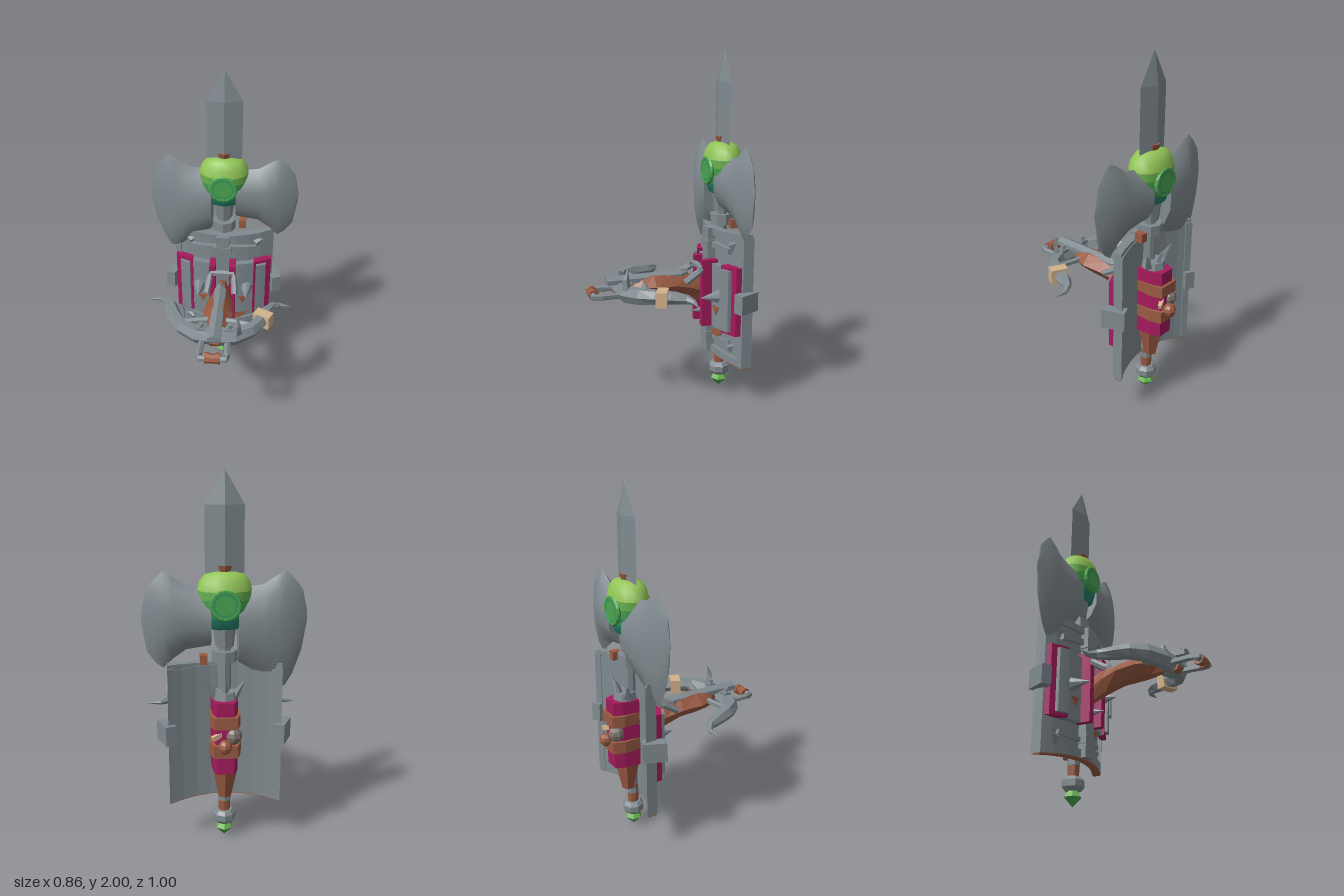
import * as THREE from 'three';
import { mergeVertices, toCreasedNormals } from 'three/addons/utils/BufferGeometryUtils.js';

const PZ = -0.305; // depth of the pole axis

function flat(geo) {
  const g = geo.index ? geo.toNonIndexed() : geo;
  g.computeVertexNormals();
  return g;
}

// Skin a list of equal-length rings, capping both ends and turning faces outward.
function loft(rings) {
  const tris = [], n = rings[0].length, last = rings.length - 1;
  for (let i = 0; i < last; i++) for (let j = 0; j < n; j++) {
    const a = rings[i][j], b = rings[i][(j + 1) % n], c = rings[i + 1][(j + 1) % n], d = rings[i + 1][j];
    tris.push([a, b, c], [a, c, d]);
  }
  for (let j = 1; j < n - 1; j++) {
    tris.push([rings[0][0], rings[0][j + 1], rings[0][j]]);
    tris.push([rings[last][0], rings[last][j], rings[last][j + 1]]);
  }
  const v = (p) => new THREE.Vector3(...p);
  const volume = tris.reduce((s, t) => s + v(t[0]).dot(v(t[1]).cross(v(t[2]))), 0);
  if (volume < 0) tris.forEach((t) => t.reverse());
  const g = new THREE.BufferGeometry();
  g.setAttribute('position', new THREE.Float32BufferAttribute(tris.flat(2), 3));
  return g;
}

// Plate bent to the curve of the shield; front and back are depths at x = 0.
const bend = (x) => -0.085 * (x / 0.3) ** 2;
function bentPlate(x0, x1, y0, y1, front, back, sag = 0) {
  const g = new THREE.BoxGeometry(x1 - x0, y1 - y0, front - back, 8, 1, 1);
  g.translate((x0 + x1) / 2, (y0 + y1) / 2, (front + back) / 2);
  const p = g.attributes.position;
  for (let i = 0; i < p.count; i++) {
    const x = p.getX(i);
    p.setZ(i, p.getZ(i) + bend(x));
    p.setY(i, p.getY(i) - sag * (x / 0.3) ** 2);
  }
  return g;
}

function tube(points, r, sides = 6) {
  const path = new THREE.CurvePath();
  const v = points.map((p) => new THREE.Vector3(...p));
  for (let i = 1; i < v.length; i++) path.add(new THREE.LineCurve3(v[i - 1], v[i]));
  return new THREE.TubeGeometry(path, (v.length - 1) * 4, r, sides);
}

export function createModel() {
  const model = new THREE.Group();
  const mat = (name, color) => Object.assign(new THREE.MeshStandardMaterial({ color }), { name });
  const steel = mat('steel grey', 0x808a8f), leather = mat('leather brown', 0x995a42);
  const cloth = mat('magenta cloth', 0xa31a5b), tan = mat('tan wrap', 0xd3b28c);
  const lime = mat('lime green', 0x91c456), leaf = mat('leaf green', 0x68b24f), green = mat('mid green', 0x4ba551);
  const sea = mat('sea green', 0x36945f), teal = mat('teal', 0x27836c), stone = mat('grey brown', 0x7b7069);

  function add(name, geo, material, pos = [0, 0, 0], rot = [0, 0, 0], smooth = false) {
    const m = new THREE.Mesh(smooth ? geo : flat(geo), material);
    m.name = name;
    m.position.set(...pos);
    m.rotation.set(...rot);
    model.add(m);
    return m;
  }
  const box = (w, h, d) => new THREE.BoxGeometry(w, h, d);
  const cyl = (rt, rb, h, n = 8) => new THREE.CylinderGeometry(rt, rb, h, n);

  // Pole, grip, pommel and gem
  add('pole', cyl(0.035, 0.035, 1.0), steel, [0, 0.72, PZ]);
  add('grip', cyl(0.036, 0.03, 0.14), leather, [0, 0.21, PZ]);
  add('gripFlare', cyl(0.075, 0.038, 0.17, 6), leather, [0, 0.345, PZ - 0.03]);
  add('pommelNut', new THREE.LatheGeometry([[0, 0.085], [0.045, 0.085], [0.062, 0.105], [0.062, 0.14], [0.045, 0.16], [0, 0.16]].map((p) => new THREE.Vector2(...p)), 8), steel, [0, 0, PZ]);
  add('pommelGemTop', cyl(0.026, 0.05, 0.035, 6), leaf, [0, 0.07, PZ]);
  add('pommelGemBottom', cyl(0.05, 0, 0.052, 6), green, [0, 0.026, PZ]);
  add('neckRing', cyl(0.068, 0.068, 0.06), steel, [0, 1.055, PZ]);
  add('neck', cyl(0.06, 0.048, 0.1), steel, [0, 1.155, PZ]);
  add('neckPeg', box(0.04, 0.05, 0.05), leather, [0.11, 1.045, PZ - 0.03]);

  // Spear blade with a diamond section
  const diamond = (y, w, t) => [[w, y, PZ], [0, y, PZ + t], [-w, y, PZ], [0, y, PZ - t]];
  add('spearBlade', loft([diamond(1.46, 0.1, 0.034), diamond(1.83, 0.1, 0.03), diamond(2, 0.001, 0.001)]), steel);
  add('spearCollar', cyl(0.045, 0.03, 0.05), leather, [0, 1.505, PZ]);

  // Axe head: columns of x, top, lower edge (left, right), half thickness
  const axe = [[0.07, 1.41, 1.11, 1.02, 0.082], [0.2, 1.43, 1.09, 0.94, 0.073], [0.27, 1.475, 1.04, 0.885, 0.063],
    [0.32, 1.5, 0.99, 0.88, 0.049], [0.36, 1.46, 1.02, 0.95, 0.034], [0.405, 1.4, 1.08, 1.08, 0.015], [0.43, 1.28, 1.24, 1.24, 0.001]];
  const lens = [[0.12, 0.55], [0.35, 1], [0.65, 1], [0.88, 0.55]];
  for (const s of [1, -1]) {
    const blade = loft(axe.map(([x, top, l, r, t]) => {
      const low = s > 0 ? l : r;
      const side = (dir) => lens.map(([k, w]) => [x * s, top + (low - top) * k, PZ + dir * t * w]);
      return [[x * s, top, PZ], ...side(1), [x * s, low, PZ], ...side(-1).reverse()];
    }));
    add(s > 0 ? 'leftAxeBlade' : 'rightAxeBlade', toCreasedNormals(mergeVertices(blade), 0.8), steel, [0, 0, 0], [0, 0, 0], true);
  }

  // Orb in colour bands, with a ringed eye on both faces
  const bands = [['orbBottom', teal, [[0, 1.2], [0.07, 1.2], [0.1, 1.215], [0.12, 1.265]]],
    ['orbLower', sea, [[0.12, 1.265], [0.133, 1.31]]],
    ['orbMiddle', green, [[0.133, 1.31], [0.142, 1.36]]],
    ['orbUpper', leaf, [[0.142, 1.36], [0.143, 1.405]]],
    ['orbTop', lime, [[0.143, 1.405], [0.13, 1.45], [0.1, 1.485], [0.05, 1.5], [0, 1.5]]]];
  for (const [name, m, pts] of bands) {
    add(name, new THREE.LatheGeometry(pts.map((p) => new THREE.Vector2(...p)), 16), m, [0, 0, PZ], [0, 0, 0], true).scale.z = 0.72;
  }
  for (const s of [1, -1]) {
    const turn = [0, s > 0 ? 0 : Math.PI, 0];
    add('eyeRing', new THREE.TorusGeometry(0.07, 0.013, 6, 16), green, [0, 1.34, PZ + s * 0.093], turn);
    add('eyeInner', new THREE.CircleGeometry(0.068, 16), sea, [0, 1.34, PZ + s * 0.103], turn);
    add('eyePupil', new THREE.CircleGeometry(0.052, 16), green, [0, 1.34, PZ + s * 0.105], turn);
  }

  // Curved shield with raised rim, ribs and panels
  add('shieldPlate', bentPlate(-0.3, 0.3, 0.25, 1.0, -0.25, -0.285, 0.018), steel);
  add('shieldBottomRim', bentPlate(-0.3, 0.3, 0.25, 0.295, -0.23, -0.27, 0.018), steel);
  add('shieldUnderside', bentPlate(-0.298, 0.298, 0.244, 0.252, -0.235, -0.28, 0.018), leather);
  add('shieldTopRim', bentPlate(-0.3, 0.3, 0.97, 1.01, -0.23, -0.28, -0.01), steel);
  add('upperRib', bentPlate(-0.2, 0.2, 0.9, 0.935, -0.225, -0.27, 0.03), steel);
  add('lowerRib', bentPlate(-0.2, 0.2, 0.335, 0.36, -0.235, -0.27, -0.03), steel);
  add('spine', box(0.08, 0.76, 0.08), steel, [0, 0.63, -0.245]);
  add('spineTopKnob', box(0.1, 0.06, 0.05), steel, [0, 0.91, -0.225]);
  add('spineLowKnob', box(0.09, 0.05, 0.05), steel, [0, 0.35, -0.225]);
  const crescent = new THREE.Shape();
  crescent.absarc(0, 0, 0.19, -Math.PI * 0.45, -0.35, false);
  crescent.absarc(0, 0, 0.14, -0.35, -Math.PI * 0.45, true);
  add('wornWood', new THREE.ExtrudeGeometry(crescent, { depth: 0.008, bevelEnabled: false }), leather, [0.01, 0.53, -0.24], [0, 0.17, 0]);
  for (const s of [1, -1]) {
    const span = (a, b) => (s > 0 ? [a, b] : [-b, -a]);
    add('sideRim', bentPlate(...span(0.265, 0.3), 0.24, 1.0, -0.228, -0.29), steel);
    add('frontPanel', bentPlate(...span(0.075, 0.2), 0.43, 0.81, -0.213, -0.26), steel);
    add('sideCloth', bentPlate(...span(0.187, 0.292), 0.43, 0.83, -0.195, -0.24), cloth);
    add('sideClothPlate', bentPlate(...span(0.202, 0.262), 0.45, 0.81, -0.175, -0.2), steel);
    add('sideClamp', box(0.06, 0.11, 0.13), steel, [s * 0.31, 0.635, -0.33], [0, s * 0.4, 0]);
    add('shieldSpike', cyl(0, 0.04, 0.12), steel, [s * 0.147, 0.63, -0.177], [Math.PI / 2, 0, 0]);
    add('wornChip', cyl(0.035, 0.035, 0.008, 3), leather, [s * 0.125, 0.545, -0.226], [Math.PI / 2, s * 0.24, 0, 'YXZ']);
    for (const y of [0.33, 0.94]) add('cornerStud', cyl(0, 0.045, 0.025, 3), steel, [s * 0.2, y, -0.28], [Math.PI / 2, 0, 0]);
  }
  add('centreSpike', cyl(0, 0.025, 0.1), steel, [0, 0.505, -0.165], [Math.PI / 2, 0, 0]);

  // Magenta cloth wrap around the pole, with straps behind
  for (const s of [1, -1]) add('clothStrip', box(0.037, 0.4, 0.13), cloth, [s * 0.06, 0.63, -0.225]);
  const wrap = (y, g) => [[-0.075, y, -0.28], [0.075, y, -0.28], [0.065 + g, y, -0.385], [0.045 + g, y, -0.435 - g], [-0.045 - g, y, -0.435 - g], [-0.065 - g, y, -0.385]];
  add('clothWrap', loft([wrap(0.43, 0), wrap(0.83, 0)]), cloth);
  add('upperStrap', loft([wrap(0.69, 0.016), wrap(0.755, 0.016)]), leather);
  add('lowerStrap', loft([wrap(0.53, 0.018), wrap(0.6, 0.018)]), leather);
  add('strapKnob', new THREE.SphereGeometry(0.038, 8, 6), leather, [0.005, 0.6, -0.462]);
  add('stoneLump', new THREE.SphereGeometry(0.046, 8, 6), stone, [-0.042, 0.645, -0.42]);
  add('tanTie', box(0.07, 0.025, 0.02), tan, [0.04, 0.65, -0.433], [0, 0.4, -0.3]);
  for (const s of [-1, 0, 1]) add('crownProng', cyl(0, 0.028, 0.13, 4), steel, [s * 0.075, 0.89, -0.36 - (s ? 0 : 0.02)], [-0.3, 0, -s * 0.5]);
  add('crownBase', cyl(0.06, 0.07, 0.05), steel, [0, 0.845, -0.34]);

  // Crossbow stock: sections of z, half width, low and high edges
  const stock = [[-0.22, 0.04, 0.55, 0.69], [-0.1, 0.055, 0.6, 0.735], [0, 0.075, 0.635, 0.75], [0.12, 0.088, 0.645, 0.755], [0.19, 0.07, 0.65, 0.75], [0.25, 0.028, 0.66, 0.74]];
  add('stock', loft(stock.map(([z, w, lo, hi]) => {
    const mid = (lo + hi) / 2;
    return [[-w * 0.4, hi, z], [w * 0.4, hi, z], [w, mid, z], [w * 0.4, lo, z], [-w * 0.4, lo, z], [-w, mid, z]];
  })), leather);
  const rail = (z, w) => [[-w, 0.725, z], [w, 0.725, z], [w, 0.75, z], [0, 0.768, z], [-w, 0.75, z]];
  add('rail', loft([rail(-0.1, 0.003), rail(-0.05, 0.034), rail(0.39, 0.036)]), steel);

  // Bow limbs: inner x, z, outer x, z, height centre, half height
  const limb = [[0, 0.25, 0, 0.355, 0.69, 0.045], [0.1, 0.25, 0.12, 0.34, 0.69, 0.045], [0.18, 0.21, 0.22, 0.28, 0.7, 0.042], [0.215, 0.14, 0.28, 0.2, 0.705, 0.036],
    [0.25, 0.05, 0.31, 0.12, 0.7, 0.03], [0.3, 0, 0.33, 0.035, 0.695, 0.022], [0.35, -0.02, 0.36, 0.006, 0.687, 0.012], [0.425, -0.004, 0.425, -0.002, 0.682, 0.001]];
  const limbRing = (s) => ([ix, iz, ox, oz, y, h]) => {
    const at = (k, dy) => [s * (ix + (ox - ix) * k), y + dy, iz + (oz - iz) * k];
    return [at(0, 0), at(0.25, h), at(0.75, h), at(1, 0), at(0.75, -h), at(0.25, -h)];
  };
  add('bowLimbs', loft([...limb.slice(1).reverse().map(limbRing(-1)), ...limb.map(limbRing(1))]), steel);
  add('limbWrap', box(0.1, 0.085, 0.06), tan, [0.263, 0.703, 0.145], [0, -0.45, 0]);
  add('bowBrace', tube([[-0.19, 0.705, 0.21], [-0.1, 0.705, 0.19], [0, 0.705, 0.175], [0.1, 0.705, 0.19], [0.19, 0.705, 0.21]], 0.019), steel);
  for (const s of [1, -1]) {
    add('limbBoltBase', box(0.048, 0.02, 0.045), steel, [s * 0.08, 0.737, 0.29]);
    add('limbBolt', cyl(0.014, 0.018, 0.03, 6), steel, [s * 0.08, 0.757, 0.29]);
  }
  const horn = (x, y, z, r) => [[x - r, y, z], [x, y, z + r], [x + r, y, z], [x, y, z - r]];
  add('limbHorn', loft([horn(0.125, 0.72, 0.305, 0.026), horn(0.125, 0.78, 0.31, 0.018), horn(0.125, 0.845, 0.295, 0.001)]), steel);

  // Front stirrup with leather grip, and rear cocking lever
  add('stirrup', tube([[-0.07, 0.675, 0.32], [-0.08, 0.68, 0.475], [0.08, 0.68, 0.475], [0.07, 0.675, 0.32]], 0.019), steel);
  add('stirrupGrip', cyl(0.027, 0.027, 0.08), leather, [0, 0.68, 0.472], [0, 0, Math.PI / 2]);
  for (const s of [1, -1]) add('stirrupGripBand', cyl(0.031, 0.031, 0.026), leather, [s * 0.03, 0.68, 0.468], [0, 0, Math.PI / 2]);
  add('underGrip', cyl(0.03, 0.03, 0.06), leather, [0, 0.672, 0.32], [0, 0, Math.PI / 2]);
  add('lever', tube([[-0.085, 0.71, -0.05], [-0.07, 0.78, -0.165], [0.07, 0.78, -0.165], [0.085, 0.71, -0.05]], 0.02), steel);
  return model;
}
